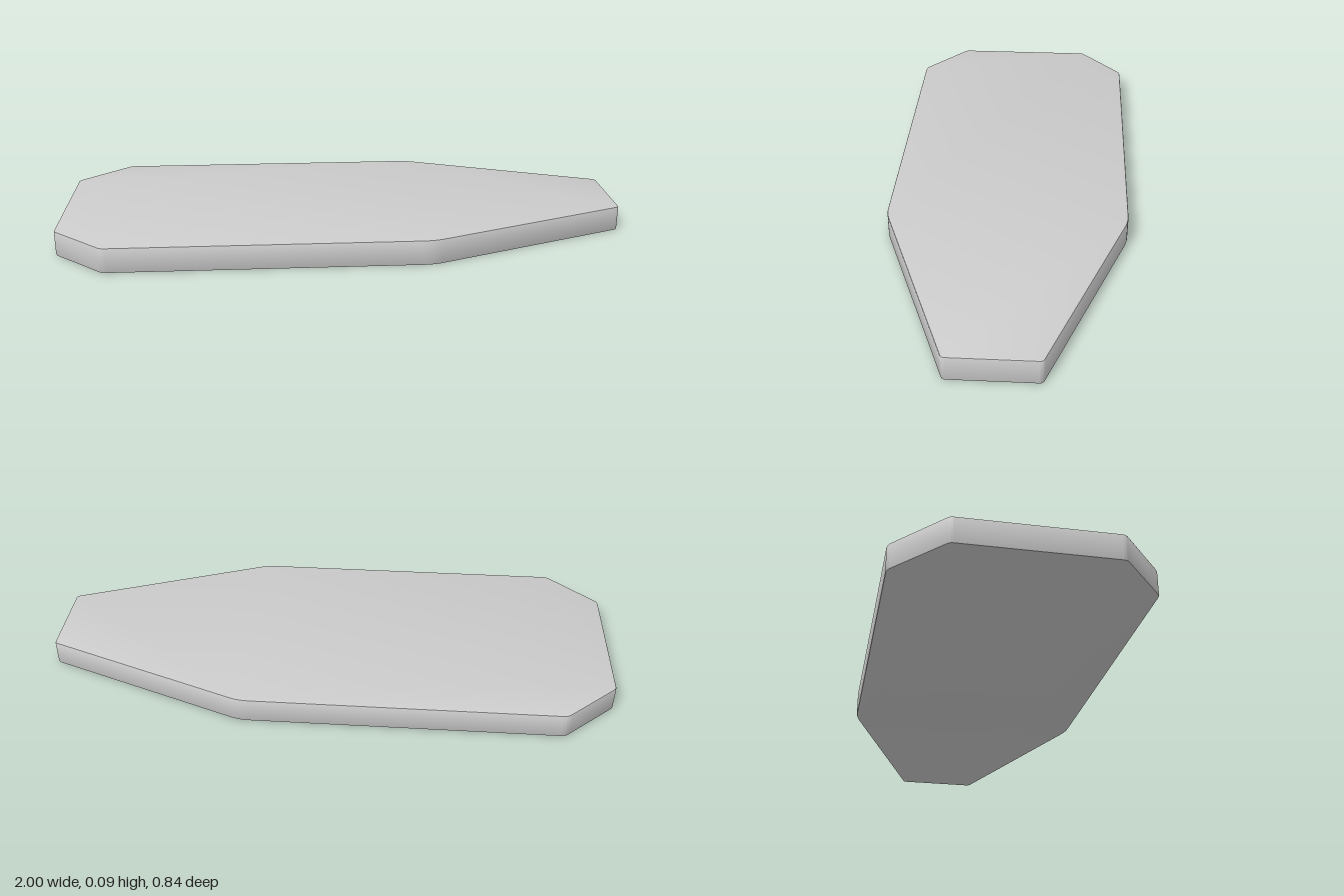
import * as THREE from 'three';
import { toCreasedNormals } from 'three/addons/utils/BufferGeometryUtils.js';

const HEIGHT = 0.09;
const BEVEL = 0.005;

// Half outline from the blunt end to the narrow end: x, half width, corner rounding
const half = [
  [-1, 0.26, 0.012],
  [-0.82, 0.42, 0.015],
  [0.29, 0.42, 0.035],
  [1, 0.15, 0.012],
];

// Closed outline whose corners are softened by short curves
function roundedOutline(corners) {
  const shape = new THREE.Shape();
  const n = corners.length;
  corners.forEach(([x, y, r], i) => {
    const p = new THREE.Vector2(x, y);
    const towards = ([qx, qy]) =>
      new THREE.Vector2(qx, qy).sub(p).setLength(r).add(p);
    const a = towards(corners[(i + n - 1) % n]);
    const b = towards(corners[(i + 1) % n]);
    if (i === 0) shape.moveTo(a.x, a.y);
    else shape.lineTo(a.x, a.y);
    shape.quadraticCurveTo(p.x, p.y, b.x, b.y);
  });
  shape.closePath();
  return shape;
}

export function createModel() {
  const group = new THREE.Group();
  group.name = 'taperedPlate';

  // Mirror the half outline across the long axis
  const lower = half.map(([x, w, r]) => [x, -w, r]);
  const upper = half.map(([x, w, r]) => [x, w, r]).reverse();

  // Flat slab with a fine bevel along the top and bottom edges
  const extruded = new THREE.ExtrudeGeometry(roundedOutline([...lower, ...upper]), {
    depth: HEIGHT - 2 * BEVEL,
    curveSegments: 5,
    bevelEnabled: true,
    bevelThickness: BEVEL,
    bevelSize: BEVEL,
    bevelOffset: -BEVEL,
    bevelSegments: 2,
  });
  extruded.rotateX(-Math.PI / 2);
  extruded.translate(0, BEVEL, 0);

  const plate = new THREE.Mesh(
    toCreasedNormals(extruded, 0.5),
    new THREE.MeshStandardMaterial({ color: 0xcccccc })
  );
  plate.name = 'plate';
  group.add(plate);
  return group;
}
